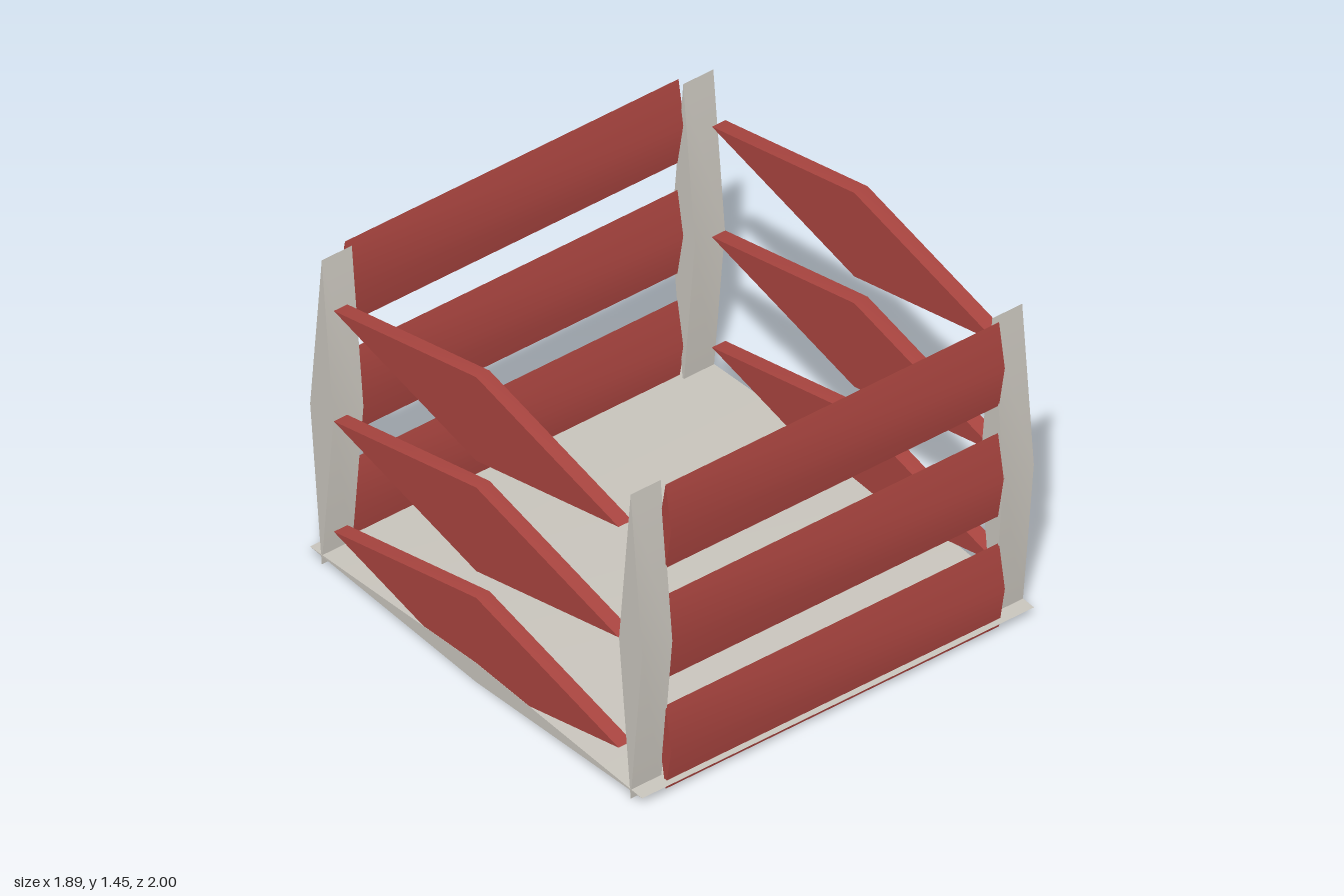
import * as THREE from 'three';
import { toCreasedNormals } from 'three/addons/utils/BufferGeometryUtils.js';

const material = (name, color) => {
  const m = new THREE.MeshStandardMaterial({ color });
  m.name = name;
  return m;
};

// Diamond-section prism with its axis along x; shallow edges are smooth
function diamondBar(name, mat, [width, height, depth], [x, y, z]) {
  const g = new THREE.CylinderGeometry(0.5, 0.5, 1, 4);
  g.rotateZ(Math.PI / 2);
  g.scale(width, height, depth);
  const mesh = new THREE.Mesh(toCreasedNormals(g, Math.PI / 6), mat);
  mesh.name = name;
  mesh.position.set(x, y, z);
  return mesh;
}

export function createModel() {
  const red = material('red slats', 0xa8443f);
  const grey = material('warm grey frame', 0xc8c4bc);
  const crate = new THREE.Group();
  crate.name = 'crate';

  // Floor panel
  crate.add(diamondBar('floor', grey, [1.892, 0.09, 2], [0, 0.045, 0]));

  // Corner posts
  for (const sx of [-1, 1]) {
    for (const sz of [-1, 1]) {
      crate.add(diamondBar('cornerPost', grey, [0.145, 1.442, 0.14], [sx * 0.8725, 0.723, sz * 0.93]));
    }
  }

  // Three rows of slats on all four sides
  for (const y of [0.2, 0.7235, 1.247]) {
    for (const s of [-1, 1]) {
      crate.add(diamondBar(s > 0 ? 'frontSlat' : 'backSlat', red, [1.61, 0.396, 0.07], [0, y, s * 0.965]));
      crate.add(diamondBar(s > 0 ? 'leftSlat' : 'rightSlat', red, [0.065, 0.396, 1.715], [s * 0.9125, y, 0]));
    }
  }
  return crate;
}
